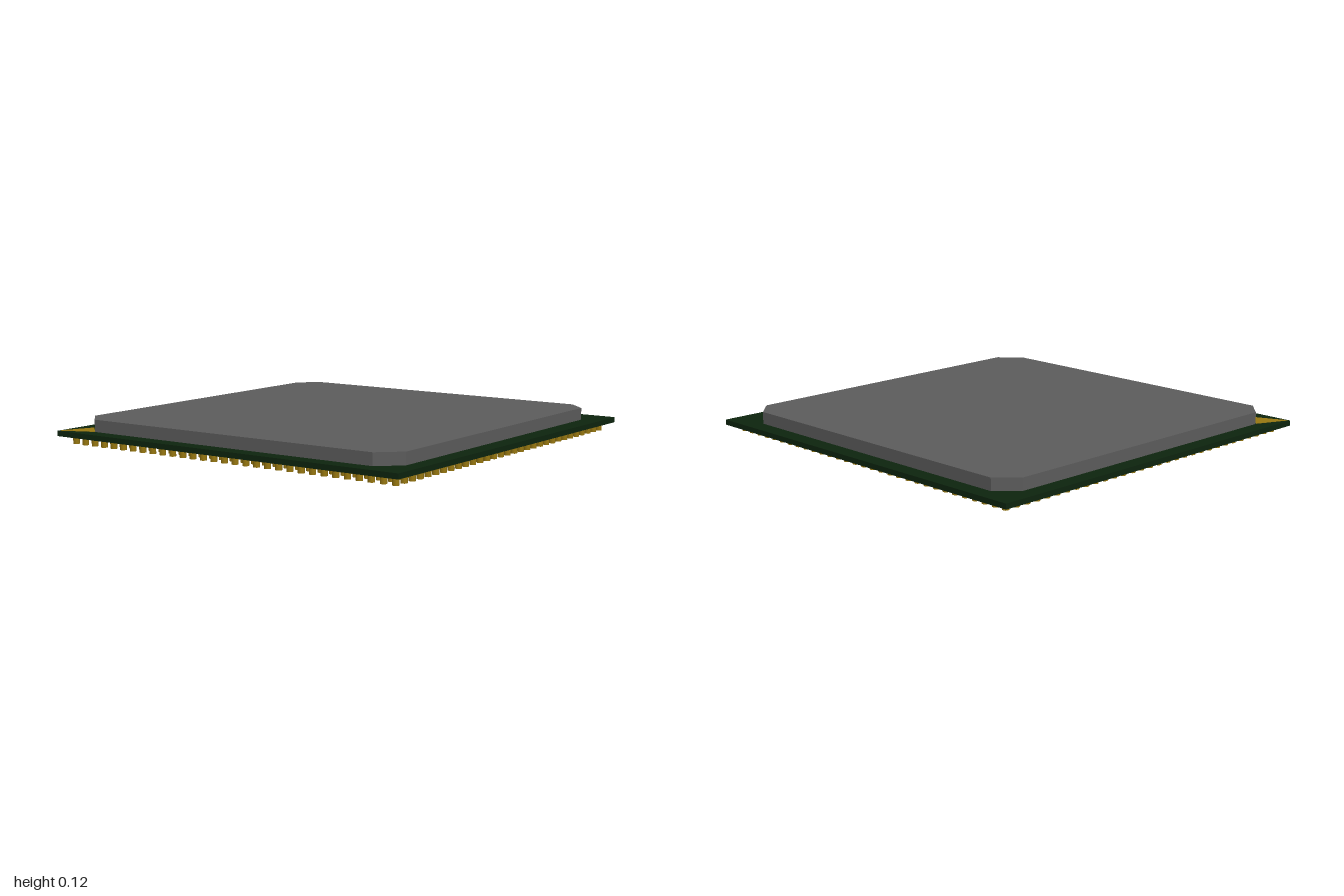
import * as THREE from 'three';
import { mergeGeometries } from 'three/addons/utils/BufferGeometryUtils.js';

const gold = new THREE.MeshStandardMaterial({ color: 0x987811 });
gold.name = 'gold';
const green = new THREE.MeshStandardMaterial({ color: 0x0d240e });
green.name = 'dark green';
const grey = new THREE.MeshStandardMaterial({ color: 0x5c5c5c });
grey.name = 'metal grey';

// Flat slab from an outline of [x, z] points, standing on y = bottom
function slab(name, outline, bottom, height, material) {
  const shape = new THREE.Shape(outline.map(([x, z]) => new THREE.Vector2(x, -z)));
  const geometry = new THREE.ExtrudeGeometry(shape, { depth: height, bevelEnabled: false });
  geometry.rotateX(-Math.PI / 2);
  geometry.translate(0, bottom, 0);
  const mesh = new THREE.Mesh(geometry, material);
  mesh.name = name;
  return mesh;
}

// Grid of contact pins with an empty centre and four keying gaps
function pinGrid() {
  const half = 15, pitch = 0.0623, height = 0.037;
  const pin = new THREE.CylinderGeometry(0.016, 0.016, height, 8);
  const pins = [];
  for (let i = -half; i <= half; i++) {
    for (let j = -half; j <= half; j++) {
      const centre = Math.abs(i) <= 2 && Math.abs(j) <= 2;
      const key = Math.abs(i) === 4 && (j === -1 || j === 2);
      if (centre || key) continue;
      pins.push(pin.clone().translate(-0.019 + i * pitch, height / 2, 0.0175 + j * pitch));
    }
  }
  const mesh = new THREE.Mesh(mergeGeometries(pins), gold);
  mesh.name = 'contactPins';
  return mesh;
}

export function createModel() {
  const model = new THREE.Group();
  model.name = 'processorChip';

  // Circuit board
  model.add(slab('board', [[-1, -1], [0.995, -1], [1, 1], [-1, 0.995]], 0.036, 0.026, green));

  // Metal lid with cut corners
  model.add(slab('heatSpreader', [
    [-0.82, -0.92], [0.82, -0.92], [0.915, -0.825], [0.915, 0.8],
    [0.82, 0.9], [-0.82, 0.915], [-0.92, 0.81], [-0.92, -0.825],
  ], 0.062, 0.06, grey));

  // Alignment mark in the back corner
  model.add(slab('cornerMark', [[-0.99, -0.99], [-0.825, -0.92], [-0.92, -0.825]], 0.062, 0.002, gold));

  model.add(pinGrid());
  return model;
}
